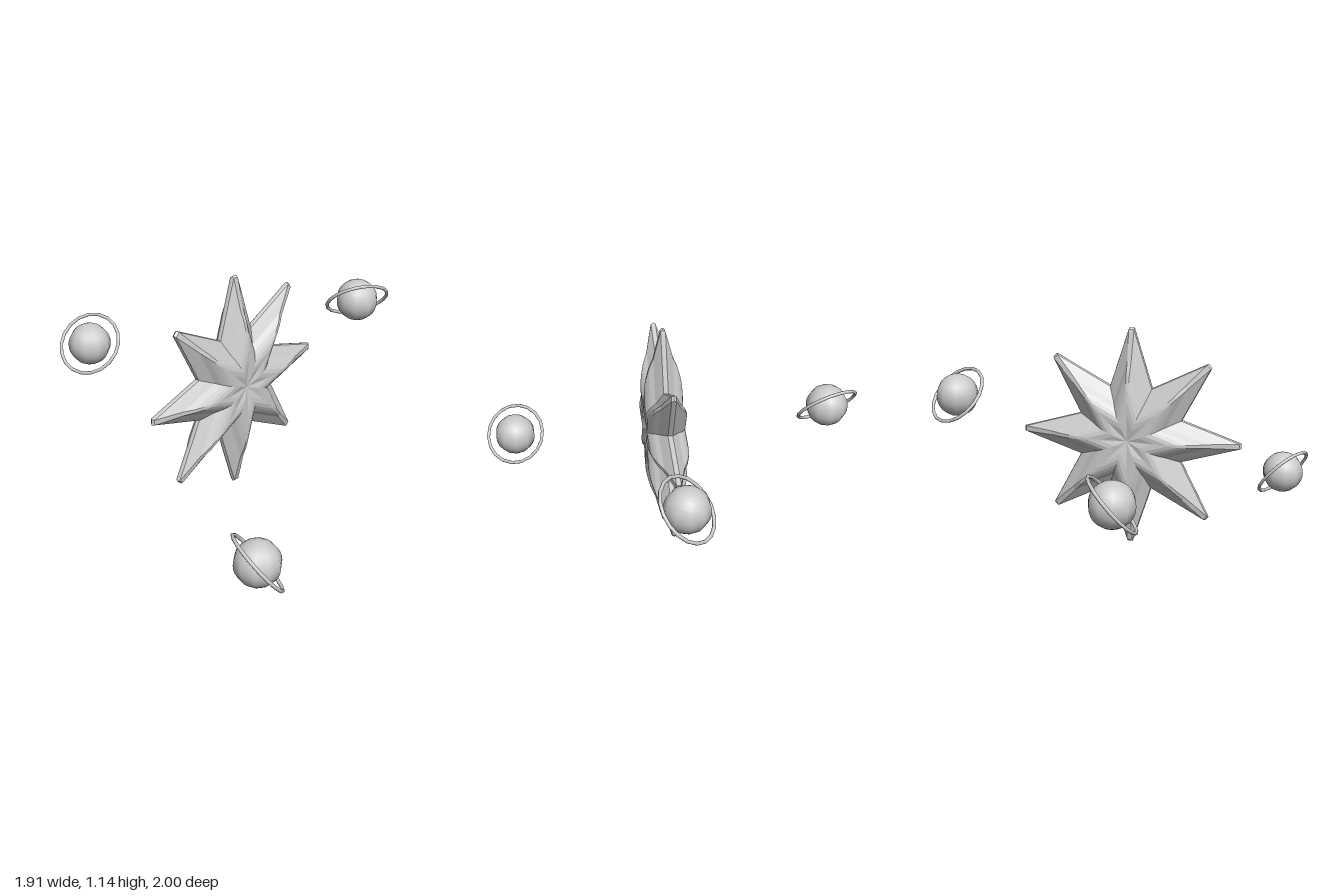
import * as THREE from 'three';

const material = new THREE.MeshStandardMaterial({ color: 0xcccccc });
const starMaterial = new THREE.MeshStandardMaterial({ color: 0xcccccc, flatShading: true });

// Eight-pointed outline with narrow blunt tips, counter-clockwise
function starOutline(points, tip, tipHalfWidth, valley) {
  const outline = [];
  for (let i = 0; i < points; i++) {
    const a = (i / points) * Math.PI * 2;
    const c = Math.cos(a), s = Math.sin(a);
    for (const w of [-tipHalfWidth, tipHalfWidth]) outline.push([tip * c - w * s, tip * s + w * c]);
    const b = a + Math.PI / points;
    outline.push([valley * Math.cos(b), valley * Math.sin(b)]);
  }
  return outline;
}

// Shrinking star rings lofted to a puffed body with a slightly sunken middle
function starGeometry() {
  const outline = starOutline(8, 0.57, 0.014, 0.288);
  const half = [[0, 0.083], [0.12, 0.09], [0.24, 0.097], [0.36, 0.099], [0.46, 0.094], [0.54, 0.085],
    [0.62, 0.073], [0.72, 0.05], [0.87, 0.029], [0.985, 0.012]]; // scale, height
  const profile = [...half, [1, 0], ...half.slice().reverse().map(([s, h]) => [s, -h])];
  const n = outline.length;
  const positions = [], index = [];
  for (const [s, h] of profile) for (const [x, y] of outline) positions.push(x * s, y * s, h);
  for (let r = 0; r < profile.length - 1; r++) {
    for (let i = 0; i < n; i++) {
      const a = r * n + i, b = r * n + (i + 1) % n, c = a + n, d = b + n;
      if (r > 0) index.push(a, c, b);
      if (r < profile.length - 2) index.push(b, c, d);
      else continue;
      if (r === 0) continue;
    }
  }
  const geometry = new THREE.BufferGeometry();
  geometry.setAttribute('position', new THREE.Float32BufferAttribute(positions, 3));
  geometry.setIndex(index);
  geometry.computeVertexNormals();
  return geometry;
}

// Ball with a thin tilted ring around it
function ringedPlanet(name, position, ringNormal) {
  const group = new THREE.Group();
  group.name = name;
  const ball = new THREE.Mesh(new THREE.SphereGeometry(0.112, 10, 16), material);
  ball.name = 'planetBall';
  const ring = new THREE.Mesh(new THREE.TorusGeometry(0.165, 0.009, 8, 18), material);
  ring.name = 'planetRing';
  ring.quaternion.setFromUnitVectors(new THREE.Vector3(0, 0, 1), new THREE.Vector3(...ringNormal).normalize());
  group.add(ball, ring);
  group.position.set(...position);
  return group;
}

export function createModel() {
  const model = new THREE.Group();
  model.name = 'starWithPlanets';

  const star = new THREE.Mesh(starGeometry(), starMaterial);
  star.name = 'star';
  star.position.set(-0.155, 0.57, 0.067);
  model.add(star);

  model.add(
    ringedPlanet('frontPlanet', [-0.83, 0.193, 0.83], [0.69, 0.62, 0.37]),
    ringedPlanet('leftPlanet', [0.8, 0.712, 0.085], [0.4, 0.68, -0.61]),
    ringedPlanet('backPlanet', [-0.31, 0.543, -0.838], [-0.7, 0.66, 0.25]),
  );
  return model;
}
